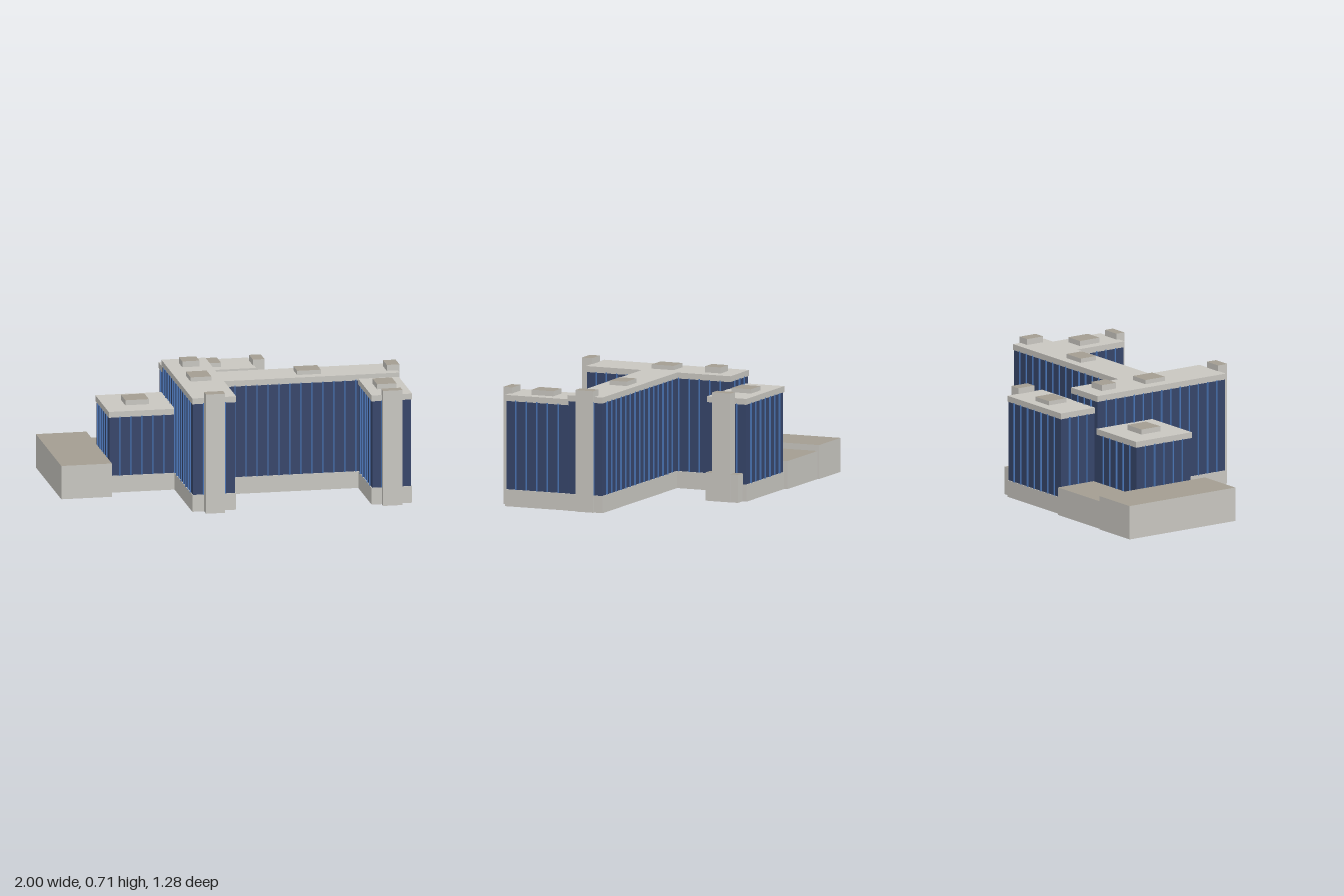
import * as THREE from 'three';

export function createModel() {
  const model = new THREE.Group();
  model.name = 'officeComplex';
  const mat = (name, color) => {
    const m = new THREE.MeshStandardMaterial({ color });
    m.name = name;
    return m;
  };
  const concrete = mat('concrete', 0xc8c6c0);
  const roofing = mat('roofing', 0xa39d91);
  const glass = mat('glass', 0x36456a);
  const mullion = mat('mullion', 0x4a74b4);
  // Box sides are ordered +x, -x, +y, -y, +z, -z: only the top is roofing
  const roofed = [concrete, concrete, roofing, concrete, concrete, concrete];

  // Box given by its limits on each axis
  function box(parent, name, material, [x0, x1], [y0, y1], [z0, z1]) {
    const mesh = new THREE.Mesh(new THREE.BoxGeometry(x1 - x0, y1 - y0, z1 - z0), material);
    mesh.position.set((x0 + x1) / 2, (y0 + y1) / 2, (z0 + z1) / 2);
    mesh.name = name;
    parent.add(mesh);
    return mesh;
  }

  const BASE = 0.1, CAP = 0.035, INSET = 0.005, FIN = 0.003, OUT = 0.003, PITCH = 0.064;

  // Glazed wing: concrete base, glass storeys with upright fins, roof slab
  function wing(name, x, z, top) {
    const g = new THREE.Group();
    g.name = name;
    model.add(g);
    const glassTop = top - CAP;
    const inset = ([a, b]) => [a + INSET, b - INSET];
    box(g, 'base', concrete, x, [0, BASE], z);
    box(g, 'glassStoreys', glass, inset(x), [BASE, glassTop], inset(z));
    box(g, 'roofSlab', concrete, x, [glassTop, top], z);
    const y = [BASE, glassTop + 0.005];
    const steps = ([a, b]) => {
      const n = Math.round((b - a) / PITCH);
      return Array.from({ length: n - 1 }, (_, i) => a + ((b - a) * (i + 1)) / n);
    };
    for (const p of steps(x)) {
      box(g, 'fin', mullion, [p - FIN, p + FIN], y, [z[1] - INSET, z[1] + OUT]);
      box(g, 'fin', mullion, [p - FIN, p + FIN], y, [z[0] - OUT, z[0] + INSET]);
    }
    for (const p of steps(z)) {
      box(g, 'fin', mullion, [x[1] - INSET, x[1] + OUT], y, [p - FIN, p + FIN]);
      box(g, 'fin', mullion, [x[0] - OUT, x[0] + INSET], y, [p - FIN, p + FIN]);
    }
  }

  wing('mainWing', [-0.05, 0.99], [-0.03, 0.195], 0.68);
  wing('crossWing', [-0.31, -0.05], [-0.37, 0.555], 0.68);
  wing('frontWing', [0.745, 0.985], [0.19, 0.595], 0.655);
  wing('rearWing', [-0.28, 0.25], [-0.61, -0.36], 0.605);
  wing('lowWing', [-0.7, -0.308], [-0.375, 0.025], 0.485);

  // Low blocks: name, x limits, z limits, height
  [
    ['sideBlock', [-1, -0.7], [-0.64, 0.12], 0.2],
    ['linkBlock', [-0.702, -0.278], [-0.63, -0.373], 0.165],
    ['shaftBlock', [0.245, 0.31], [-0.585, -0.375], 0.165],
  ].forEach(([name, x, z, h]) => box(model, name, roofed, x, [0, h], z));

  // Stair shafts at the ends of the wings
  [
    [[-0.24, -0.127], [0.55, 0.615], 0.715],
    [[0.805, 0.92], [0.58, 0.637], 0.69],
    [[0.925, 1], [0.025, 0.14], 0.715],
    [[0.243, 0.312], [-0.535, -0.42], 0.64],
  ].forEach(([x, z, h]) => box(model, 'stairShaft', roofed, x, [0, h], z));

  // Plant rooms: x limits, z limits, roof level, top
  [
    [[-0.575, -0.435], [-0.245, -0.11], 0.485, 0.515],
    [[-0.225, -0.123], [-0.275, -0.173], 0.68, 0.715],
    [[-0.243, -0.12], [0.025, 0.165], 0.68, 0.705],
    [[0.395, 0.535], [0.025, 0.135], 0.68, 0.705],
    [[0.805, 0.92], [0.317, 0.457], 0.655, 0.685],
    [[-0.08, 0.055], [-0.55, -0.425], 0.605, 0.63],
  ].forEach(([x, z, y0, y1]) => box(model, 'plantRoom', roofed, x, [y0, y1], z));

  return model;
}
